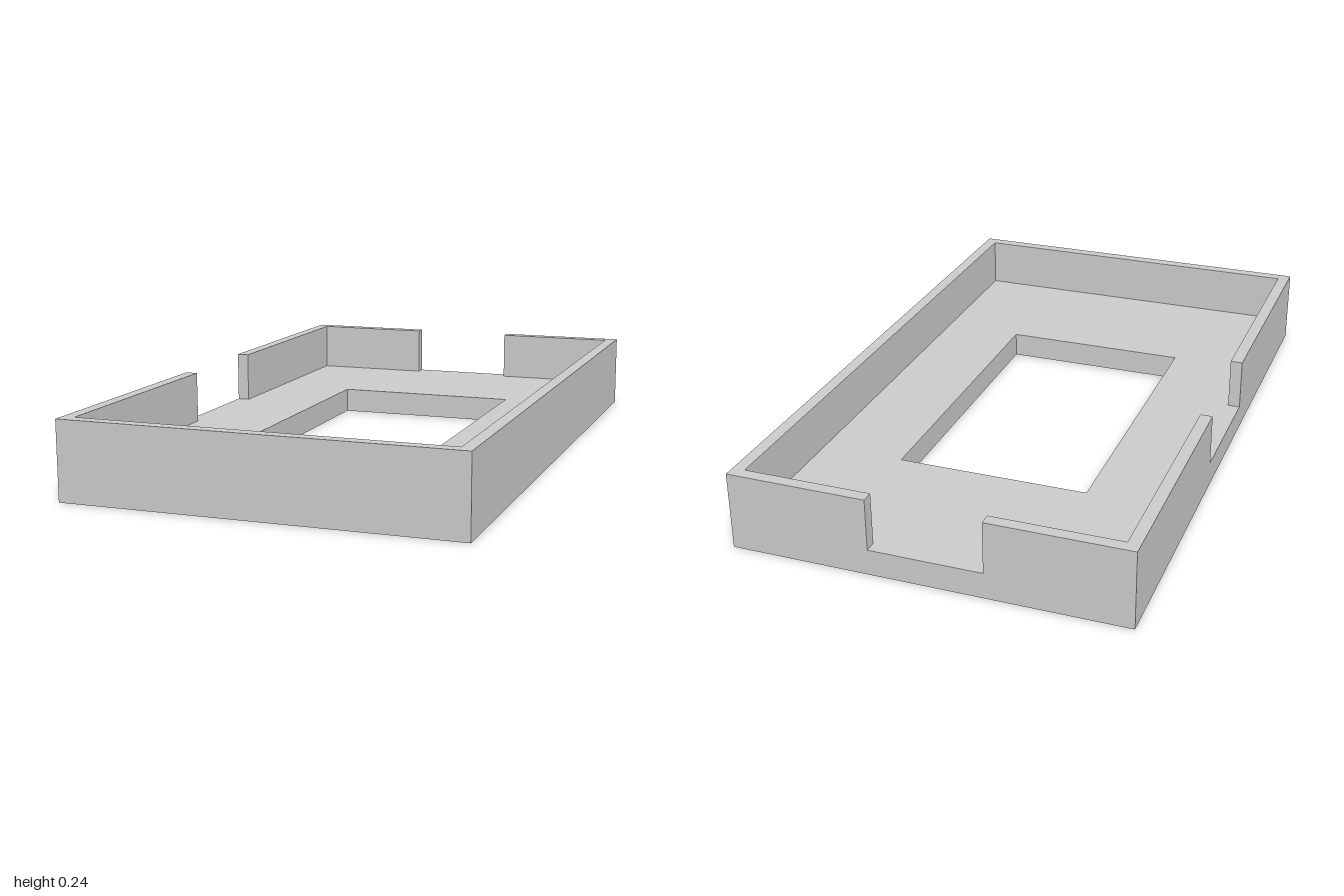
import * as THREE from 'three';

const W = 0.6, D = 1;         // half width and half depth
const H = 0.24, FLOOR = 0.08; // total height and floor thickness
const T = 0.038;              // wall thickness
const SIDE_GAP = 0.2, BACK_GAP = 0.172; // half widths of the wall openings

// Points are [x, z] on plan; Shape y becomes -z once laid flat.
const toPoints = (plan) => plan.map(([x, z]) => new THREE.Vector2(x, -z));
const rect = (w, d) => [[-w, d], [w, d], [w, -d], [-w, -d]];

function slab(name, plan, bottom, top, hole) {
  const shape = new THREE.Shape(toPoints(plan));
  if (hole) shape.holes.push(new THREE.Path(toPoints(hole)));
  const geometry = new THREE.ExtrudeGeometry(shape, { depth: top - bottom, bevelEnabled: false });
  geometry.rotateX(-Math.PI / 2).translate(0, bottom, 0);
  const mesh = new THREE.Mesh(geometry, new THREE.MeshStandardMaterial({ color: 0xcccccc, flatShading: true }));
  mesh.name = name;
  return mesh;
}

export function createModel() {
  const model = new THREE.Group();
  model.name = 'openTray';

  // Floor plate with a rectangular window
  model.add(slab('floor', rect(W, D), 0, FLOOR, rect(0.3, 0.5)));

  // Corner wall between the side opening and the back opening
  model.add(slab('cornerWall', [
    [-W, -SIDE_GAP], [-W + T, -SIDE_GAP], [-W + T, -D + T],
    [-BACK_GAP, -D + T], [-BACK_GAP, -D], [-W, -D],
  ], FLOOR, H));

  // Wall running from the side opening round the front to the back opening
  model.add(slab('mainWall', [
    [-W, SIDE_GAP], [-W, D], [W, D], [W, -D], [BACK_GAP, -D], [BACK_GAP, -D + T],
    [W - T, -D + T], [W - T, D - T], [-W + T, D - T], [-W + T, SIDE_GAP],
  ], FLOOR, H));

  return model;
}
